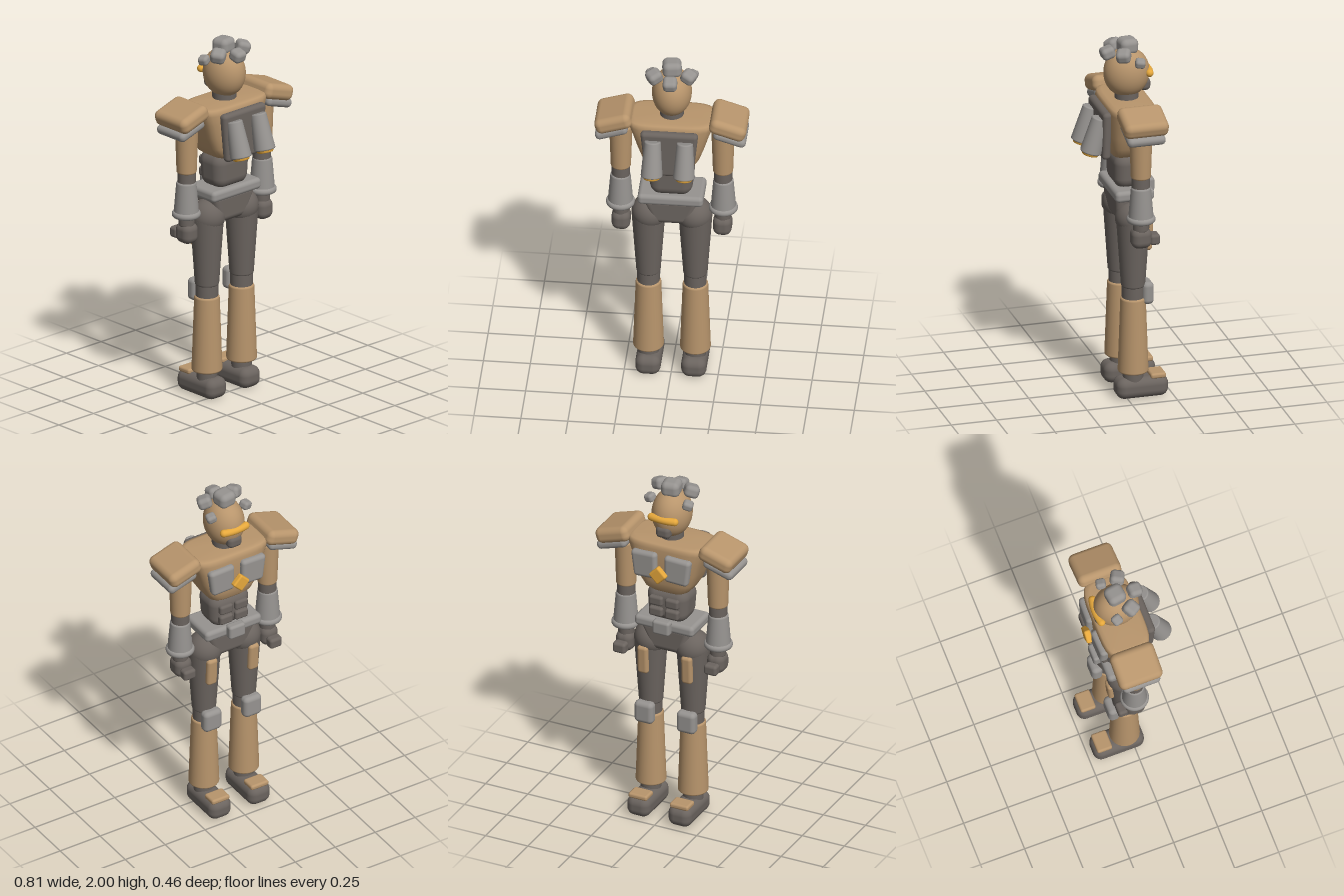
import * as THREE from 'three';
import { RoundedBoxGeometry } from 'three/addons/geometries/RoundedBoxGeometry.js';
import { mergeVertices } from 'three/addons/utils/BufferGeometryUtils.js';

const material = (color) => new THREE.MeshStandardMaterial({ color });

// Rounded box; taper scales x and z at the bottom edge
function box(w, h, d, r, taper = 1) {
  const geo = new RoundedBoxGeometry(w, h, d, 4, Math.min(r, w / 2.01, h / 2.01, d / 2.01));
  if (taper !== 1) {
    const p = geo.attributes.position;
    for (let i = 0; i < p.count; i++) {
      const s = THREE.MathUtils.lerp(taper, 1, p.getY(i) / h + 0.5);
      p.setX(i, p.getX(i) * s);
      p.setZ(i, p.getZ(i) * (0.5 + s / 2));
    }
    geo.deleteAttribute('uv');
  }
  return geo;
}

// Tapered cylinder with softly rounded rims, centred on its own height
function limb(rTop, rBottom, h, bevel = 0.012) {
  const pts = [new THREE.Vector2(0, -h / 2)];
  for (let i = 0; i <= 4; i++) {
    const a = (i / 4) * Math.PI / 2;
    pts.push(new THREE.Vector2(rBottom - bevel + bevel * Math.sin(a), -h / 2 + bevel - bevel * Math.cos(a)));
  }
  for (let i = 0; i <= 4; i++) {
    const a = (i / 4) * Math.PI / 2;
    pts.push(new THREE.Vector2(rTop - bevel + bevel * Math.cos(a), h / 2 - bevel + bevel * Math.sin(a)));
  }
  pts.push(new THREE.Vector2(0, h / 2));
  return new THREE.LatheGeometry(pts, 32);
}

// Stacked squarish rings: each level is [half width, y, half depth]
function loft(levels, power) {
  const geo = new THREE.LatheGeometry(levels.map(([, y]) => new THREE.Vector2(1, y)), 48);
  const p = geo.attributes.position;
  for (let i = 0; i < p.count; i++) {
    const [w, , d] = levels[i % levels.length];
    const x = p.getX(i), z = p.getZ(i);
    const k = (Math.abs(x) ** power + Math.abs(z) ** power) ** (-1 / power);
    p.setX(i, x * k * w);
    p.setZ(i, z * k * d);
  }
  geo.deleteAttribute('uv');
  geo.deleteAttribute('normal');
  const merged = mergeVertices(geo, 1e-5);
  merged.computeVertexNormals();
  return merged;
}

export function createModel() {
  const model = new THREE.Group();
  model.name = 'armouredRobot';
  const tan = material(0xb8956c), dark = material(0x6b645f);
  const grey = material(0x969390), amber = material(0xe6a83c);
  const Z = -0.04; // body axis

  function add(name, geo, mat, pos, rot = [0, 0, 0]) {
    const mesh = new THREE.Mesh(geo, mat);
    mesh.name = name;
    mesh.position.set(...pos);
    mesh.rotation.set(...rot);
    model.add(mesh);
    return mesh;
  }
  // Mirrored pair
  function pair(name, geo, mat, [x, y, z], [rx, ry, rz] = [0, 0, 0]) {
    add(name + 'Left', geo, mat, [x, y, z], [rx, ry, rz]);
    add(name + 'Right', geo, mat, [-x, y, z], [rx, -ry, -rz]);
  }

  // Legs
  pair('foot', box(0.135, 0.115, 0.285, 0.045), dark, [0.122, 0.0575, -0.083]);
  pair('toePlate', box(0.11, 0.03, 0.085, 0.012), tan, [0.122, 0.118, -0.168]);
  pair('ankle', limb(0.055, 0.055, 0.09), dark, [0.125, 0.12, Z]);
  pair('shin', limb(0.068, 0.082, 0.425), tan, [0.125, 0.357, Z]);
  pair('knee', limb(0.06, 0.06, 0.12), dark, [0.125, 0.6, Z]);
  pair('kneePad', box(0.11, 0.125, 0.062, 0.025), grey, [0.125, 0.593, -0.113]);
  pair('thigh', limb(0.09, 0.065, 0.39), dark, [0.125, 0.825, Z]);
  pair('hipJoint', new THREE.SphereGeometry(0.095, 32, 20), dark, [0.12, 1.018, Z]);
  pair('thighPlate', box(0.062, 0.165, 0.04, 0.018), tan, [0.13, 0.915, -0.122], [-0.05, 0, 0]);

  // Pelvis, belt and waist
  add('pelvis', box(0.31, 0.17, 0.2, 0.035, 0.5), dark, [0, 1.07, Z]);
  add('belt', box(0.35, 0.062, 0.215, 0.022), grey, [0, 1.156, Z]);
  add('buckle', box(0.1, 0.08, 0.05, 0.015), grey, [0, 1.16, -0.158]);
  add('abdomen', box(0.25, 0.2, 0.185, 0.06, 0.88), dark, [0, 1.27, Z]);
  for (const y of [1.235, 1.3])
    pair('abdominalPlate', box(0.08, 0.055, 0.04, 0.014), dark, [0.047, y, -0.13]);

  // Chest
  const chest = [
    [0.001, 1.345, 0.001], [0.06, 1.346, 0.05], [0.1, 1.355, 0.085], [0.128, 1.375, 0.104],
    [0.155, 1.42, 0.116], [0.18, 1.49, 0.125], [0.205, 1.57, 0.13], [0.225, 1.625, 0.13],
    [0.228, 1.643, 0.127], [0.222, 1.655, 0.12], [0.2, 1.662, 0.1], [0.001, 1.663, 0.001],
  ];
  add('chest', loft(chest, 4.5), tan, [0, 0, -0.037]);
  pair('chestPlate', box(0.155, 0.155, 0.055, 0.022, 0.85), grey, [0.095, 1.53, -0.166], [0, -0.04, -0.06]);
  add('chestGem', box(0.075, 0.075, 0.035, 0.01), amber, [0, 1.5, -0.204], [0, 0, Math.PI / 4]);

  // Backpack with two thrusters
  add('backpack', box(0.31, 0.275, 0.05, 0.022, 0.82), dark, [0, 1.498, 0.105]);
  const tilt = -0.27;
  pair('thruster', limb(0.044, 0.058, 0.2, 0.008), grey, [0.086, 1.498, 0.157], [tilt, 0, 0]);
  pair('thrusterNozzle', limb(0.05, 0.044, 0.025, 0.006), amber, [0.086, 1.4, 0.184], [tilt, 0, 0]);

  // Arms
  pair('shoulderPad', box(0.2, 0.088, 0.245, 0.034), tan, [0.305, 1.635, -0.042], [0, 0, -0.31]);
  pair('shoulderUnderplate', box(0.18, 0.052, 0.21, 0.024), grey, [0.315, 1.572, Z], [0, 0, -0.31]);
  pair('upperArm', limb(0.062, 0.054, 0.27), tan, [0.272, 1.437, Z]);
  pair('elbow', limb(0.049, 0.049, 0.1), dark, [0.272, 1.28, Z]);
  pair('forearm', limb(0.054, 0.068, 0.195), grey, [0.274, 1.156, Z]);
  pair('cuff', limb(0.077, 0.077, 0.036, 0.016), grey, [0.274, 1.07, Z]);
  pair('wrist', limb(0.043, 0.043, 0.07), dark, [0.272, 1.035, Z]);
  pair('hand', box(0.1, 0.115, 0.11, 0.04), dark, [0.27, 0.963, Z]);
  pair('knuckles', box(0.075, 0.06, 0.055, 0.016), dark, [0.27, 0.95, -0.112]);

  // Head
  add('neck', limb(0.064, 0.064, 0.09), dark, [0, 1.67, Z]);
  const head = [];
  for (let i = 0; i <= 20; i++) {
    const a = Math.max(0.003, Math.min(Math.PI - 0.003, (i / 20) * Math.PI));
    const s = Math.sin(a) ** 0.85;
    head.push([0.106 * s, 1.805 - 0.13 * Math.cos(a), 0.124 * s]);
  }
  add('head', loft(head, 2), tan, [0, 0, Z]);
  add('jaw', box(0.085, 0.07, 0.06, 0.025), dark, [0, 1.732, -0.136]);

  // Visor bar, gently curved round the face
  const brow = new THREE.QuadraticBezierCurve3(
    new THREE.Vector3(-0.068, 1.81, -0.148), new THREE.Vector3(0, 1.81, -0.166), new THREE.Vector3(0.068, 1.81, -0.148));
  add('visor', new THREE.TubeGeometry(brow, 16, 0.021, 16), amber, [0, 0, 0]);
  pair('visorEnd', new THREE.SphereGeometry(0.021, 16, 12), amber, [0.068, 1.81, -0.148]);

  // Lumpy crest: [x, y, z, size, turn]
  const lumps = [
    [0, 1.955, -0.045, 0.102, 0.15], [0, 1.925, 0.065, 0.076, 0.05],
    [-0.09, 1.93, 0.01, 0.08, 0.6], [0.094, 1.935, 0.003, 0.077, -0.45],
    [-0.112, 1.888, -0.077, 0.056, 0.3], [0.108, 1.888, -0.085, 0.054, -0.2],
  ];
  for (const [x, y, z, s, turn] of lumps)
    add('crestLump', box(s, s * 0.86, s, s * 0.3), grey, [x, y, z], [z * 3 + 0.1, turn, -x * 3]);

  return model;
}
